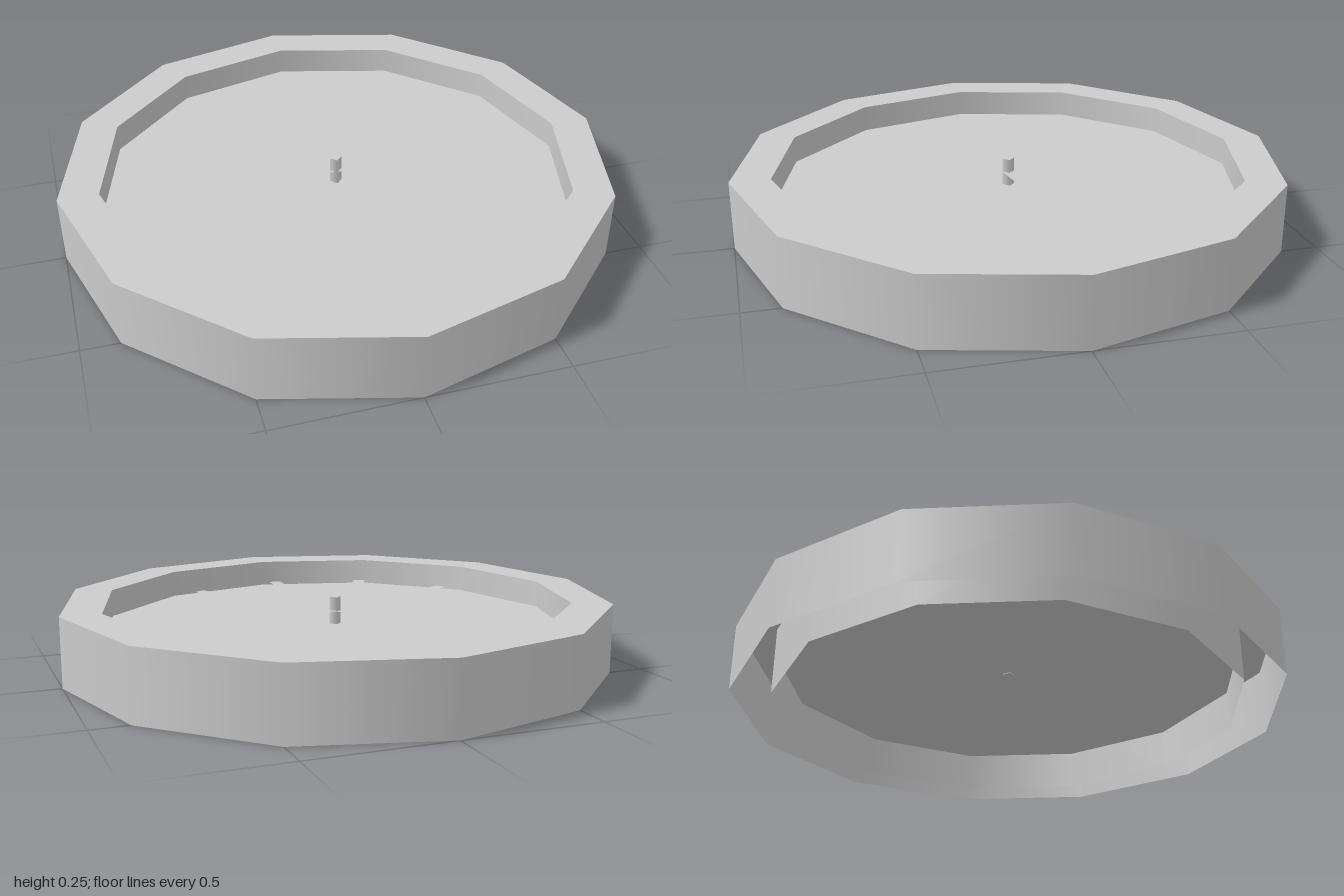
import * as THREE from 'three';

const SIDES = 12, OUTER = 1, INNER = 0.855, HEIGHT = 0.25, FACE_Y = 0.15;

export function createModel() {
  const clock = new THREE.Group();
  clock.name = 'wallClock';
  const material = new THREE.MeshStandardMaterial({ color: 0xcccccc, side: THREE.DoubleSide });

  const add = (name, geometry, y) => {
    const mesh = new THREE.Mesh(geometry, material);
    mesh.name = name;
    mesh.position.y = y;
    clock.add(mesh);
    return mesh;
  };

  // Hollow case: two walls joined by a flat rim, open underneath
  const wall = (radius) => new THREE.CylinderGeometry(radius, radius, HEIGHT, SIDES, 1, true);
  add('outerWall', wall(OUTER), HEIGHT / 2);
  add('innerWall', wall(INNER), HEIGHT / 2);
  add('rim', new THREE.RingGeometry(INNER, OUTER, SIDES).rotateX(-Math.PI / 2), HEIGHT);

  // Recessed dial
  add('dial', new THREE.CircleGeometry(INNER, SIDES).rotateX(-Math.PI / 2), FACE_Y);

  // Flat strip lying along a radius, from start to end, turned anticlockwise seen from above
  const strip = (name, start, end, width, degrees, y) => {
    const geometry = new THREE.PlaneGeometry(end - start, width)
      .rotateX(-Math.PI / 2)
      .translate((start + end) / 2, 0, 0);
    add(name, geometry, y).rotation.y = THREE.MathUtils.degToRad(degrees);
  };

  // Hour marks floating just above the dial
  for (let i = 0; i < 12; i++) strip('hourMark', 0.457, 0.708, 0.047, i * 30, 0.187);

  // Hands
  strip('minuteHand', 0, 0.5, 0.045, 10, 0.2);
  strip('hourHand', 0, 0.25, 0.045, 140, 0.197);

  // Four-sided centre pin, just poking through the dial
  const pinBase = 0.147;
  add('centrePin', new THREE.CylinderGeometry(0.022, 0.022, HEIGHT - pinBase, 4), (HEIGHT + pinBase) / 2);

  return clock;
}
